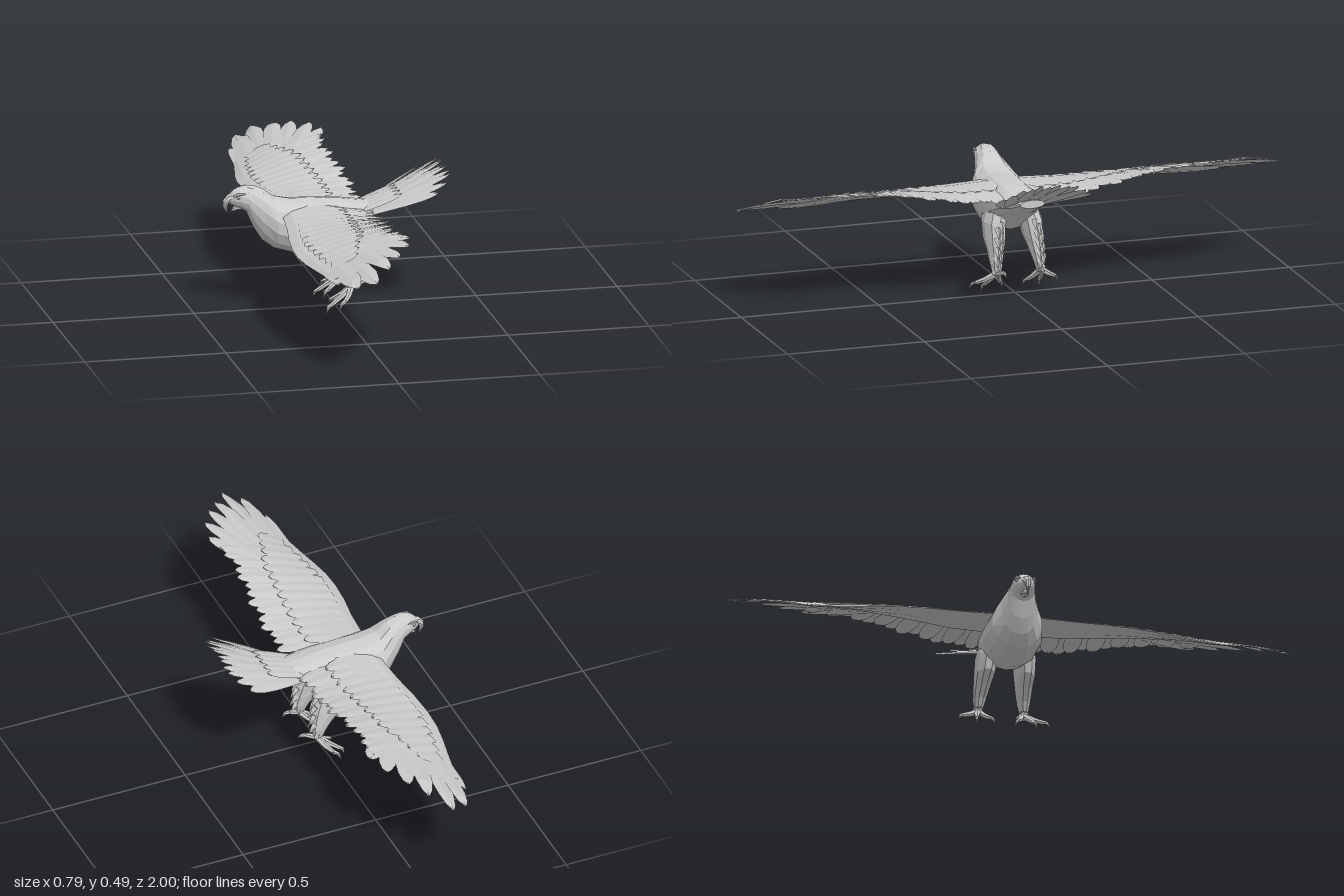
import * as THREE from 'three';
import { mergeGeometries } from 'three/addons/utils/BufferGeometryUtils.js';

const V = (x, y, z) => new THREE.Vector3(x, y, z);
const solid = new THREE.MeshStandardMaterial({ color: 0xcccccc, flatShading: true });
const thin = new THREE.MeshStandardMaterial({ color: 0xcccccc, flatShading: true, side: THREE.DoubleSide });

function build(pos, idx) {
  const g = new THREE.BufferGeometry();
  g.setAttribute('position', new THREE.Float32BufferAttribute(pos, 3));
  g.setIndex(idx);
  g.computeVertexNormals();
  return g;
}

// Closed skin over elliptical rings [centre, u, v], where u x v points along the path
function loft(rings, sides = 10) {
  const pos = [], idx = [];
  for (const [c, u, v] of rings) {
    for (let j = 0; j < sides; j++) {
      const a = (j / sides) * Math.PI * 2;
      pos.push(...c.clone().addScaledVector(u, Math.cos(a)).addScaledVector(v, Math.sin(a)).toArray());
    }
  }
  const n = rings.length, first = n * sides;
  pos.push(...rings[0][0].toArray(), ...rings[n - 1][0].toArray());
  for (let j = 0; j < sides; j++) {
    const k = (j + 1) % sides;
    for (let i = 0; i < n - 1; i++) {
      const a = i * sides, b = a + sides;
      idx.push(a + j, a + k, b + k, a + j, b + k, b + j);
    }
    const e = (n - 1) * sides;
    idx.push(first, k, j, first + 1, e + j, e + k);
  }
  return build(pos, idx);
}

// Round tapering limb along a path
function limb(points, radii, sides = 6) {
  return loft(points.map((p, i) => {
    const d = points[Math.min(i + 1, points.length - 1)].clone().sub(points[Math.max(i - 1, 0)]).normalize();
    const u = d.clone().cross(Math.abs(d.z) > 0.9 ? V(0, 1, 0) : V(0, 0, 1)).normalize();
    return [p, u.clone().multiplyScalar(radii[i]), d.clone().cross(u).multiplyScalar(radii[i])];
  }), sides);
}

// Feather lying on a height surface y = f(x, z), with a raised shaft
function feather(f, [x0, z0], [x1, z1], half, lift = 0) {
  const rows = [[0, 0.6], [0.3, 0.9], [0.6, 1], [0.82, 0.85], [0.94, 0.5], [1, 0.08]];
  const len = Math.hypot(x1 - x0, z1 - z0), nx = -(z1 - z0) / len, nz = (x1 - x0) / len;
  const pos = [], idx = [];
  rows.forEach(([t, w], i) => {
    for (const s of [-1, 0, 1]) {
      const x = x0 + (x1 - x0) * t + nx * s * w * half, z = z0 + (z1 - z0) * t + nz * s * w * half;
      pos.push(x, f(x, z) + lift + (s ? 0 : 0.003), z);
    }
    if (i) for (const k of [0, 1]) {
      const b = i * 3 + k, a = b - 3;
      idx.push(a, a + 1, b + 1, a, b + 1, b);
    }
  });
  return build(pos, idx);
}

function mirrorZ(g) {
  const m = g.clone().scale(1, 1, -1), ix = m.index;
  for (let i = 0; i < ix.count; i += 3) {
    const t = ix.getX(i);
    ix.setX(i, ix.getX(i + 1));
    ix.setX(i + 1, t);
  }
  m.computeVertexNormals();
  return m;
}

// Wing stations: z, leading x, trailing x, leading y, trailing y
const stations = [
  [0.04, -0.2, 0.11, 0.355, 0.355], [0.2, -0.215, 0.12, 0.345, 0.365], [0.33, -0.237, 0.115, 0.335, 0.39],
  [0.45, -0.245, 0.1, 0.325, 0.41], [0.57, -0.228, 0.095, 0.32, 0.425], [0.7, -0.2, 0.11, 0.32, 0.435],
  [0.86, -0.18, 0.05, 0.33, 0.42], [1, -0.1, -0.05, 0.345, 0.36],
];
function station(z) {
  let i = 0;
  while (i < stations.length - 2 && z > stations[i + 1][0]) i++;
  const a = stations[i], b = stations[i + 1];
  const t = THREE.MathUtils.clamp((z - a[0]) / (b[0] - a[0]), 0, 1);
  return a.map((v, k) => v + (b[k] - v) * t);
}
function wingY(x, z) {
  const [, lx, tx, ly, ty] = station(z);
  const u = THREE.MathUtils.clamp((x - lx) / (tx - lx), 0, 1);
  return ly + (ty - ly) * u + 0.014 * Math.sin(Math.PI * u);
}

export function createModel() {
  const model = new THREE.Group();
  const add = (name, geo, mat = solid) => {
    const m = new THREE.Mesh(geo, mat);
    m.name = name;
    model.add(m);
  };
  const pair = (name, geo, mat) => {
    add('front' + name, geo, mat);
    add('back' + name, mirrorZ(geo), mat);
  };

  // Head, neck and body: x, top, bottom, half width
  const bodyRings = [
    [-0.374, 0.424, 0.39, 0.014], [-0.36, 0.439, 0.383, 0.027], [-0.34, 0.45, 0.375, 0.036], [-0.315, 0.455, 0.358, 0.043],
    [-0.29, 0.452, 0.302, 0.05], [-0.26, 0.44, 0.255, 0.064], [-0.22, 0.41, 0.223, 0.09], [-0.16, 0.397, 0.206, 0.102],
    [-0.1, 0.396, 0.205, 0.102], [-0.04, 0.392, 0.22, 0.098], [0.01, 0.388, 0.26, 0.09], [0.06, 0.38, 0.295, 0.078],
    [0.12, 0.372, 0.322, 0.06], [0.19, 0.385, 0.355, 0.045],
  ];
  add('body', loft(bodyRings.map(([x, t, b, w]) => [V(x, (t + b) / 2, 0), V(0, (t - b) / 2, 0), V(0, 0, w)]), 14));

  // Open hooked beak
  add('upperBeak', limb([V(-0.35, 0.411, 0), V(-0.375, 0.41, 0), V(-0.388, 0.398, 0), V(-0.39, 0.38, 0), V(-0.381, 0.357, 0)],
    [0.024, 0.016, 0.012, 0.008, 0.001], 8));
  add('lowerBeak', limb([V(-0.325, 0.385, 0), V(-0.35, 0.377, 0), V(-0.368, 0.364, 0)], [0.02, 0.012, 0.002], 6));

  // Eyes under brow ridges
  pair('Eye', new THREE.SphereGeometry(0.006, 8, 6).translate(-0.349, 0.419, 0.031));
  pair('Brow', limb([V(-0.366, 0.421, 0.023), V(-0.35, 0.43, 0.031), V(-0.325, 0.432, 0.036)], [0.003, 0.006, 0.002], 5));

  // Wing arm: lens-shaped sections covering the front of the chord
  const armStations = [0.04, 0.12, 0.2, 0.3, 0.4, 0.48, 0.56, 0.64, 0.72, 0.8];
  pair('WingArm', loft(armStations.map((z) => {
    const [, lx, tx] = station(z);
    const reach = z < 0.5 ? 0.58 : 0.58 - (z - 0.5) * 1.6;
    const ex = lx + (tx - lx) * reach;
    const a = V(lx, wingY(lx, z), z), b = V(ex, wingY(ex, z), z);
    return [a.clone().lerp(b, 0.5), b.clone().sub(a).multiplyScalar(0.5), V(0, 0.02 - z * 0.02, 0)];
  }), 8));

  // Flight feathers, then a shorter row of coverts on top
  const tips = [[-0.18, 0.865], [-0.135, 0.97], [-0.075, 1], [-0.015, 0.925], [0.035, 0.862], [0.083, 0.785], [0.105, 0.7]];
  const flight = tips.map((tip, i) => feather(wingY, [-0.185 + i * 0.026, 0.5], tip, i ? 0.034 : 0.018, (i % 2) * 0.003));
  for (let i = 0; i < 15; i++) {
    const z = 0.09 + i * 0.041;
    flight.push(feather(wingY, [-0.12, z - 0.02], [station(z)[2] - (i % 3) * 0.008, z + 0.008], 0.032, (i % 2) * 0.003));
  }
  pair('FlightFeathers', mergeGeometries(flight), thin);
  const coverts = [];
  for (let i = 0; i < 13; i++) {
    const z = 0.08 + i * 0.05, [, lx, tx] = station(z);
    const reach = z < 0.5 ? 0.68 : 0.68 - (z - 0.5) * 1.5;
    coverts.push(feather(wingY, [lx + 0.04, z - 0.01], [lx + (tx - lx) * reach, z + 0.015], 0.034, 0.009));
  }
  pair('WingCoverts', mergeGeometries(coverts), thin);

  // Fanned, slightly arched tail
  const tailY = (x, z) => 0.342 + (x - 0.1) * 0.495 - z * z;
  const tail = [];
  for (let i = -5; i <= 5; i++) {
    const k = i / 5, tipX = 0.38 + 0.01 * Math.sin(Math.abs(k) * Math.PI) - 0.052 * k ** 4;
    tail.push(feather(tailY, [0.07, k * 0.05], [tipX, k * 0.168], 0.024, (i & 1) * 0.004));
  }
  add('tailFeathers', mergeGeometries(tail), thin);
  const rump = [-1, -0.5, 0, 0.5, 1].map((k) =>
    feather((x, z) => tailY(x, z) + 0.02 * (1 - Math.min(1, Math.max(0, (x - 0.05) / 0.18))), [0.03, k * 0.05], [0.22, k * 0.068], 0.024, 0.008));
  add('tailCoverts', mergeGeometries(rump), thin);

  // Feathered thigh: y, front x, rear x, z, half depth
  const thigh = [
    [0.31, -0.11, 0.02, 0.055, 0.035], [0.26, -0.105, 0.035, 0.066, 0.04], [0.2, -0.085, 0.053, 0.071, 0.035],
    [0.165, -0.04, 0.056, 0.074, 0.029], [0.125, -0.005, 0.058, 0.078, 0.023], [0.095, 0.012, 0.052, 0.08, 0.016],
  ];
  pair('Thigh', loft(thigh.map(([y, f, r, z, d]) => [V((f + r) / 2, y, z), V((r - f) / 2, 0, 0), V(0, 0, d)]), 9));

  // Ragged tufts down the rear of the leg
  const tufts = [];
  for (let i = 0; i < 9; i++) {
    const y = 0.255 - i * 0.017, x = 0.03 + Math.min(i, 4) * 0.004, z = 0.068 + i * 0.0015 + (i % 2 ? 0.006 : -0.006);
    tufts.push(limb([V(x, y + 0.012, z), V(x + 0.008, y, z), V(x + 0.023, y - 0.022, z)], [0.012, 0.01, 0.001], 4));
  }
  pair('LegTufts', mergeGeometries(tufts));

  // Foot with three front toes, a hind toe and hooked claws
  pair('Foot', limb([V(0.033, 0.115, 0.08), V(0.037, 0.09, 0.081), V(0.03, 0.07, 0.083)], [0.017, 0.017, 0.009], 7));
  const toes = [], claws = [];
  const toe = (a, b, c, tip) => {
    const mid = c.clone().lerp(tip, 0.5).add(V(Math.sign(tip.x - a.x) * 0.005, 0.006, 0));
    toes.push(limb([a, b, c], [0.012, 0.01, 0.008], 6));
    claws.push(limb([c, mid, tip], [0.008, 0.006, 0.0008], 5));
  };
  toe(V(0.035, 0.085, 0.082), V(0.0, 0.057, 0.093), V(-0.033, 0.034, 0.1), V(-0.054, 0.004, 0.107));
  toe(V(0.037, 0.085, 0.088), V(0.022, 0.067, 0.117), V(0.003, 0.053, 0.142), V(-0.018, 0.028, 0.162));
  toe(V(0.035, 0.085, 0.076), V(0.012, 0.062, 0.062), V(-0.012, 0.045, 0.05), V(-0.032, 0.018, 0.036));
  toe(V(0.035, 0.085, 0.08), V(0.058, 0.093, 0.076), V(0.078, 0.1, 0.072), V(0.105, 0.09, 0.066));
  pair('Toes', mergeGeometries(toes));
  pair('Claws', mergeGeometries(claws));

  return model;
}
